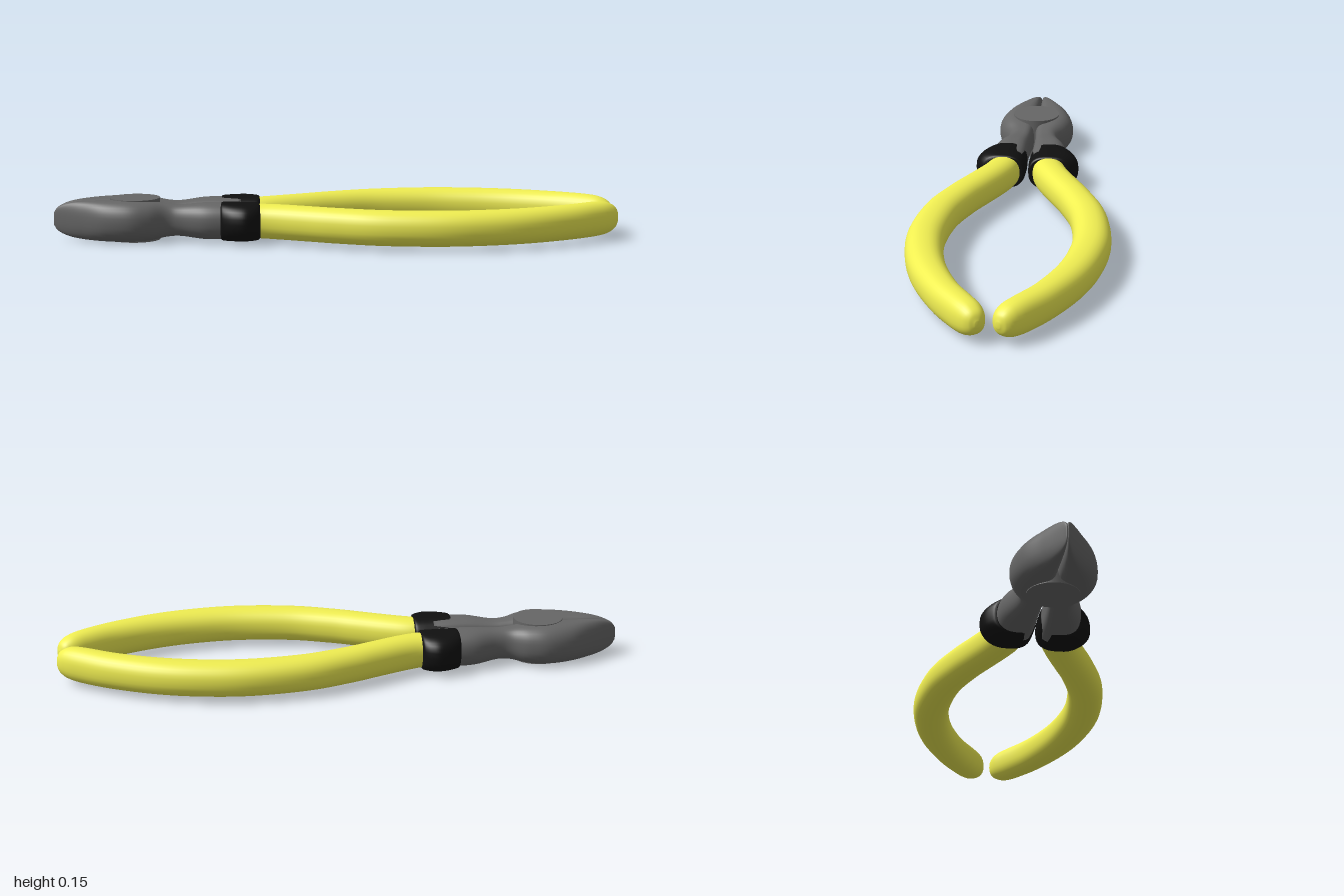
import * as THREE from 'three';

const material = (color) => new THREE.MeshStandardMaterial({ color });
const steel = material(0x666666);
const rubber = material(0x101010);
const grip = material(0xf0ee52);
const MID_Y = 0.074;

const signedPow = (v, p) => Math.sign(v) * Math.pow(Math.abs(v), p);

// Smooth loft through stations [x, zInner, zOuter, halfHeight] with a
// superellipse section; inner and outer sides may differ in squareness.
// With "follow" the sections turn with the centre line.
function loft(stations, { steps = 48, sides = 32, inner = 2.3, outer = 2.3, follow = false }) {
  const path = new THREE.CatmullRomCurve3(
    stations.map(([x, a, b]) => new THREE.Vector3(x, 0, (a + b) / 2)), false, 'catmullrom', 0.5);
  const size = new THREE.CatmullRomCurve3(
    stations.map(([, a, b, h]) => new THREE.Vector3((b - a) / 2, h, 0)), false, 'catmullrom', 0.5);
  const pos = [], index = [];
  for (let i = 0; i <= steps; i++) {
    const c = path.getPoint(i / steps);
    const s = size.getPoint(i / steps);
    const t = follow ? path.getTangent(i / steps) : new THREE.Vector3(1, 0, 0);
    for (let j = 0; j < sides; j++) {
      const a = (j / sides) * Math.PI * 2;
      const p = 2 / (Math.cos(a) < 0 ? inner : outer);
      const w = s.x * signedPow(Math.cos(a), p);
      pos.push(c.x - t.z * w, s.y * signedPow(Math.sin(a), p), c.z + t.x * w);
    }
  }
  for (let i = 0; i < steps; i++) {
    for (let j = 0; j < sides; j++) {
      const k = (j + 1) % sides;
      const a = i * sides + j, b = i * sides + k;
      index.push(a, a + sides, b, b, a + sides, b + sides);
    }
  }
  // End caps
  const last = steps * sides, start = pos.length / 3;
  const c0 = path.getPoint(0), c1 = path.getPoint(1);
  pos.push(c0.x, 0, c0.z, c1.x, 0, c1.z);
  for (let j = 0; j < sides; j++) {
    const k = (j + 1) % sides;
    index.push(start, j, k, start + 1, last + k, last + j);
  }
  const geo = new THREE.BufferGeometry();
  geo.setAttribute('position', new THREE.Float32BufferAttribute(pos, 3));
  geo.setIndex(index);
  geo.computeVertexNormals();
  return geo;
}

function part(name, geometry, mat) {
  const mesh = new THREE.Mesh(geometry, mat);
  mesh.name = name;
  return mesh;
}

// Pointed jaw, swelling at the pivot, narrowing to a neck, then the shank
const jawGeo = loft([
  [-1, 0, 0.005, 0.022], [-0.985, 0, 0.014, 0.042], [-0.95, 0, 0.036, 0.058],
  [-0.9, 0, 0.068, 0.067], [-0.82, 0, 0.118, 0.071], [-0.73, 0, 0.142, 0.072],
  [-0.66, 0, 0.13, 0.068], [-0.6, 0.005, 0.099, 0.058], [-0.55, 0.008, 0.102, 0.055],
  [-0.47, 0.01, 0.134, 0.063], [-0.4, 0.01, 0.142, 0.064], [-0.34, 0.012, 0.14, 0.062],
], { steps: 66, inner: 3.4, outer: 2.3 });

// Flared collar between shank and grip
const collarGeo = loft([
  [-0.41, 0.012, 0.142, 0.06], [-0.403, 0.007, 0.155, 0.066], [-0.37, 0.004, 0.178, 0.067],
  [-0.33, 0.004, 0.19, 0.067], [-0.3, 0.005, 0.182, 0.066], [-0.279, 0.008, 0.166, 0.064],
  [-0.272, 0.014, 0.152, 0.058],
], { steps: 30, inner: 2.6, outer: 2.6 });

// Bowed handle grip with a rounded end: [x, z, halfWidth, halfHeight]
const gripGeo = loft([
  [-0.34, 0.082, 0.06, 0.059], [-0.27, 0.086, 0.061, 0.06], [-0.2, 0.11, 0.06, 0.061],
  [-0.1, 0.157, 0.06, 0.061], [0, 0.204, 0.061, 0.061], [0.15, 0.257, 0.064, 0.061],
  [0.34, 0.281, 0.066, 0.061], [0.5, 0.268, 0.065, 0.061], [0.65, 0.23, 0.062, 0.061],
  [0.8, 0.163, 0.056, 0.061], [0.9, 0.098, 0.052, 0.061], [0.945, 0.064, 0.048, 0.057],
  [0.97, 0.046, 0.04, 0.047], [0.985, 0.036, 0.027, 0.033], [0.993, 0.031, 0.008, 0.01],
].map(([x, z, w, h]) => [x, z - w, z + w, h]), { steps: 84, inner: 2.3, outer: 2.3, follow: true });

export function createModel() {
  const model = new THREE.Group();
  model.name = 'pliers';

  // Two identical halves, the second turned over about the long axis
  ['frontHalf', 'backHalf'].forEach((name, i) => {
    const half = new THREE.Group();
    half.name = name;
    half.add(part('jaw', jawGeo, steel), part('collar', collarGeo, rubber), part('handleGrip', gripGeo, grip));
    half.position.y = MID_Y;
    half.rotation.x = i * Math.PI;
    model.add(half);
  });

  // Pivot pin through both halves
  const pivot = part('pivot', new THREE.CylinderGeometry(0.088, 0.088, MID_Y * 2, 40), steel);
  pivot.position.set(-0.713, MID_Y, 0);
  model.add(pivot);

  return model;
}
